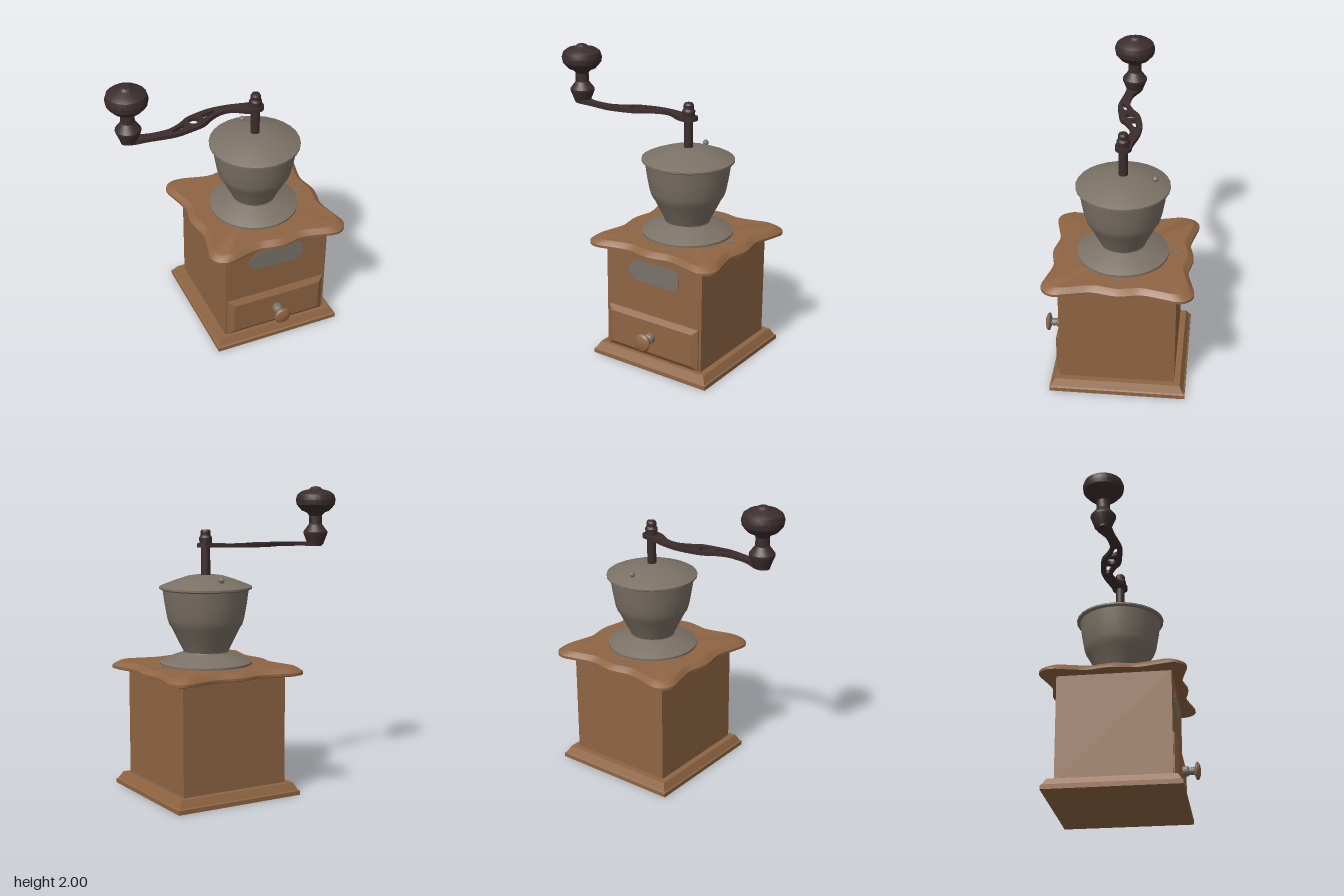
import * as THREE from 'three';
import { toCreasedNormals } from 'three/addons/utils/BufferGeometryUtils.js';

const CX = 0.26, CZ = -0.025; // vertical axis of the mill

const material = (name, color) => {
  const m = new THREE.MeshStandardMaterial({ color });
  m.name = name;
  return m;
};

// Closed solid through rings [height, [[x, z], ...]], counter-clockwise from above
function loft(rings) {
  const pos = [], idx = [], n = rings[0][1].length, last = (rings.length - 1) * n;
  for (const [y, loop] of rings) for (const [x, z] of loop) pos.push(x, y, z);
  const bottom = pos.length / 3, top = bottom + 1;
  for (const r of [rings[0], rings[rings.length - 1]]) pos.push(0, r[0], 0);
  for (let i = 0; i < n; i++) {
    const j = (i + 1) % n;
    for (let k = 0; k < last; k += n) idx.push(k + i, k + j, k + n + j, k + i, k + n + j, k + n + i);
    idx.push(bottom, j, i, top, last + i, last + j);
  }
  const g = new THREE.BufferGeometry();
  g.setAttribute('position', new THREE.Float32BufferAttribute(pos, 3));
  g.setIndex(idx);
  return toCreasedNormals(g, 0.45);
}

const rect = (w, d) => [[w, d], [w, -d], [-w, -d], [-w, d]];

const lathe = (points, segments = 24) => toCreasedNormals(
  new THREE.LatheGeometry(points.map(p => new THREE.Vector2(...p)), segments), 0.5);

// Scalloped outline of the top board
function scallopLoop() {
  const half = [[0.07, 0.455], [0.14, 0.44], [0.2, 0.444], [0.3, 0.468], [0.4, 0.487]];
  const side = [...half.map(([u, v]) => [-u, v]).reverse(), [0, 0.465], ...half, [0.458, 0.458]];
  const pts = [];
  for (let k = 0; k < 4; k++) {
    const c = Math.round(Math.cos(k * Math.PI / 2)), s = Math.round(Math.sin(k * Math.PI / 2));
    for (const [u, v] of side) pts.push(new THREE.Vector3(c * v - s * u, 0, -s * v - c * u));
  }
  return new THREE.CatmullRomCurve3(pts, true).getPoints(120).slice(0, 120).map(p => [p.x, p.z]);
}

export function createModel() {
  const group = new THREE.Group();
  const wood = material('wood', 0x8f6543);
  const metal = material('metal', 0x7b7166);
  const plate = material('plate grey', 0x78726a);
  const iron = material('dark iron', 0x3c2c2d);

  const add = (name, geometry, mat, x = CX, y = 0, z = CZ) => {
    const mesh = new THREE.Mesh(geometry, mat);
    mesh.name = name;
    mesh.position.set(x, y, z);
    group.add(mesh);
    return mesh;
  };

  // Wooden case
  add('basePlinth', loft([[0, 0.45], [0.028, 0.45], [0.034, 0.44], [0.08, 0.415]]
    .map(([y, h]) => [y, rect(h, h)])), wood);
  add('caseBody', new THREE.BoxGeometry(0.75, 0.74, 0.76), wood, CX, 0.44, -0.02);

  const outline = scallopLoop();
  add('topBoard', loft([[0.797, 0.965], [0.803, 1], [0.82, 1], [0.838, 0.955], [0.85, 0.915]]
    .map(([y, s]) => [y, outline.map(([x, z]) => [x * s, z * s])])), wood);

  // Drawer front with bevelled edges
  const drawer = loft([[0, rect(0.358, 0.147)], [0.01, rect(0.357, 0.146)], [0.032, rect(0.32, 0.112)]]);
  drawer.rotateX(Math.PI / 2);
  add('drawerFront', drawer, wood, CX, 0.229, 0.358);

  // Drawer knob
  const stem = lathe([[0, 0], [0.035, 0], [0.035, 0.035], [0.026, 0.045], [0.026, 0.08],
    [0.04, 0.086], [0.058, 0.092], [0.062, 0.1]]);
  const dome = lathe([[0.062, 0.1], [0.052, 0.112], [0.03, 0.12], [0, 0.123]]);
  for (const g of [stem, dome]) g.rotateX(Math.PI / 2);
  add('drawerKnobStem', stem, metal, CX, 0.23, 0.387);
  add('drawerKnobFace', dome, wood, CX, 0.23, 0.387);

  // Plain plaque on the front
  const plaque = new THREE.Shape([[-0.2, -0.02], [-0.18, -0.045], [-0.135, -0.072], [0.155, -0.072],
    [0.18, -0.05], [0.195, -0.03], [0.195, 0.035], [0.175, 0.06], [0.155, 0.072], [-0.135, 0.072],
    [-0.175, 0.04], [-0.2, 0.015]].map(p => new THREE.Vector2(...p)));
  add('frontPlaque', new THREE.ExtrudeGeometry(plaque, { depth: 0.003, bevelEnabled: false }),
    plate, CX, 0.67, 0.36);

  // Small fasteners in the top board
  for (const [x, z] of [[0.245, -0.375], [0.595, -0.028]])
    add('boardFastener', new THREE.CylinderGeometry(0.021, 0.021, 0.004, 10), plate, x, 0.851, z);

  // Hopper, lid and lid pin
  add('hopper', lathe([[0, 0.85], [0.303, 0.85], [0.303, 0.864], [0.25, 0.89], [0.15, 0.928],
    [0.148, 0.935], [0.225, 1.09], [0.24, 1.112], [0.252, 1.15], [0.27, 1.25], [0.283, 1.345], [0, 1.345]], 28), metal);
  add('lid', lathe([[0, 1.338], [0.29, 1.338], [0.304, 1.346], [0.304, 1.358], [0.285, 1.367],
    [0.2, 1.4], [0.12, 1.426], [0.08, 1.432], [0, 1.434]], 28), metal);
  add('lidPin', lathe([[0.012, 1.38], [0.012, 1.395], [0.019, 1.405], [0.019, 1.417],
    [0.011, 1.427], [0, 1.43]], 12), metal, CX, 0, -0.23);

  // Drive shaft and nut
  add('driveShaft', new THREE.CylinderGeometry(0.03, 0.03, 0.2, 16), iron, CX, 1.52);
  add('shaftNut', lathe([[0, 1.62], [0.04, 1.63], [0.042, 1.675], [0.033, 1.69], [0.033, 1.715],
    [0.026, 1.727], [0, 1.727]], 12), iron);

  // Pierced crank arm, outlined in plan and tilted slightly down toward the grip
  const plan = pts => pts.map(([x, z]) => new THREE.Vector2(x - CX, -z));
  const rim = [[0.315, -0.035], [0.31, -0.06], [0.28, -0.078], [0.22, -0.082], [0.1, -0.11], [-0.02, -0.121],
    [-0.12, -0.107], [-0.2, -0.085], [-0.26, -0.045], [-0.34, -0.012], [-0.42, -0.01], [-0.5, -0.022],
    [-0.6, -0.065], [-0.655, -0.04], [-0.655, 0.005], [-0.6, 0.03], [-0.5, 0.04], [-0.42, 0.053],
    [-0.32, 0.065], [-0.22, 0.052], [-0.12, 0.03], [-0.06, -0.01], [0, -0.04], [0.06, -0.05],
    [0.12, -0.035], [0.18, 0.005], [0.24, 0.026], [0.29, 0.02], [0.315, -0.01]];
  const arm = new THREE.Shape(new THREE.SplineCurve(plan([...rim, rim[0]])).getPoints(84).slice(0, 84));
  for (const hole of [
    [[-0.335, 0.015], [-0.24, -0.02], [-0.258, 0.02], [-0.325, 0.038], [-0.342, 0.03]],
    [[-0.105, -0.07], [-0.005, -0.088], [-0.012, -0.066], [-0.1, -0.032]],
  ]) arm.holes.push(new THREE.Path(plan(hole)));
  arm.holes.push(new THREE.Path().absarc(-0.17 - CX, 0.03, 0.033, 0, Math.PI * 2, true));
  const armGeometry = new THREE.ExtrudeGeometry(arm, { depth: 0.025, bevelEnabled: false, curveSegments: 8 });
  armGeometry.rotateX(-Math.PI / 2);
  add('crankArm', toCreasedNormals(armGeometry, 0.5), iron, CX, 1.612, 0).rotation.z = 0.02;

  // Turned grip
  add('crankGrip', lathe([[0, 1.6], [0.055, 1.605], [0.06, 1.622], [0.083, 1.68], [0.082, 1.692],
    [0.045, 1.742], [0.044, 1.8], [0.06, 1.82], [0.095, 1.835], [0.13, 1.875], [0.136, 1.91],
    [0.125, 1.945], [0.095, 1.967], [0.045, 1.98], [0.03, 1.994], [0, 2]], 20), iron, -0.61, 0, -0.02);

  return group;
}
